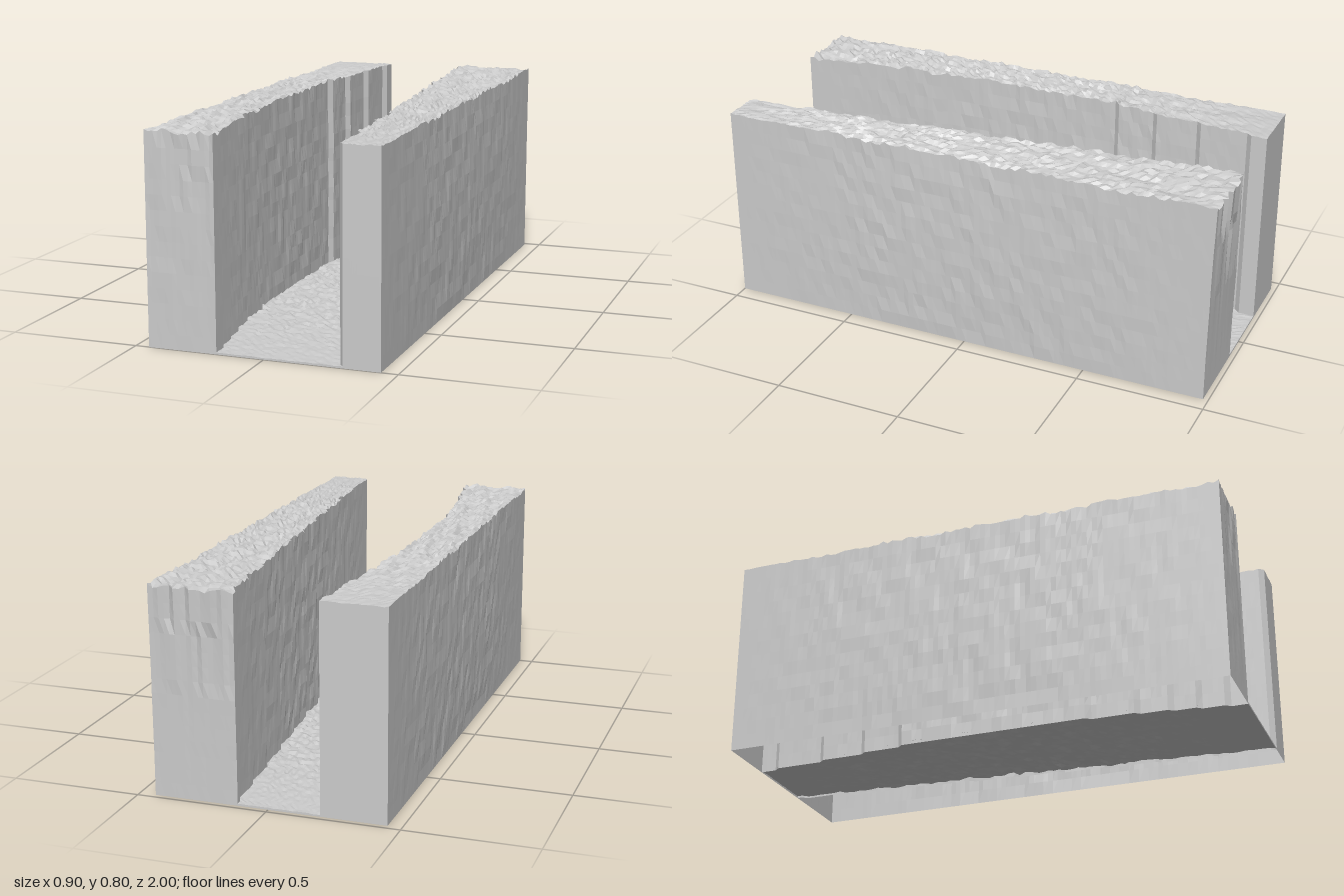
import * as THREE from 'three';

const NX = 16, NY = 14, NZ = 96;   // cells across, up and along each wall
const STEP = 0.0165;               // size of the steps in the gorge sides

// Repeatable noise in -1..1 for a grid point
function noise(i, j, k, seed) {
  let h = (i * 374761393 + j * 668265263 + k * 974634541 + seed * 69069) | 0;
  h = Math.imul(h ^ (h >>> 13), 1274126177);
  h = Math.imul(h ^ (h >>> 16), 1597334677);
  return ((h ^ (h >>> 15)) >>> 0) / 2147483648 - 1;
}

// Inner edge of each wall, read along z and snapped into steps
const edgeCurves = {
  left: [[-1, 0.12], [-0.5, 0.165], [0, 0.21], [0.4, 0.245], [1, 0.29]],
  right: [[-1, -0.2], [-0.6, -0.23], [-0.3, -0.26], [0, -0.272], [0.3, -0.266], [0.6, -0.24], [1, -0.18]],
};
function edge(side, z) {
  const c = edgeCurves[side];
  let n = 0;
  while (n < c.length - 2 && z > c[n + 1][0]) n++;
  const t = THREE.MathUtils.clamp((z - c[n][0]) / (c[n + 1][0] - c[n][0]), 0, 1);
  return Math.round(THREE.MathUtils.lerp(c[n][1], c[n + 1][1], t) / STEP) * STEP;
}

const material = new THREE.MeshStandardMaterial({ color: 0xcccccc, flatShading: true, side: THREE.DoubleSide });

// Grid surface whose normal is (u direction) x (v direction)
function surface(name, nu, nv, point, flip = false) {
  const positions = [], index = [];
  for (let u = 0; u <= nu; u++) {
    for (let v = 0; v <= nv; v++) {
      positions.push(...point(u, v));
      if (u === nu || v === nv) continue;
      const a = u * (nv + 1) + v, b = a + nv + 1;
      if (flip) index.push(a, b + 1, b, a, a + 1, b + 1);
      else index.push(a, b, b + 1, a, b + 1, a + 1);
    }
  }
  const geometry = new THREE.BufferGeometry();
  geometry.setAttribute('position', new THREE.Float32BufferAttribute(positions, 3));
  geometry.setIndex(index);
  geometry.computeVertexNormals();
  const mesh = new THREE.Mesh(geometry, material);
  mesh.name = name;
  return mesh;
}

// One rock wall, open underneath; i runs inner to outer, j up, k back to front
function wall(side) {
  const left = side === 'left', s = left ? 1 : -1;
  const point = (i, j, k) => {
    const t = k / NZ, h = j / NY, mid = Math.sin(Math.PI * t);
    let z = -0.98 + 1.98 * t;
    const outer = s * ((left ? 0.437 : 0.447) + 0.007 * mid * Math.sin(Math.PI * h));
    let x = THREE.MathUtils.lerp(edge(side, z), outer, i / NX);
    let y = 0.79 * h;
    // rough top, calmer towards one end
    if (j === NY) {
      const rough = left ? Math.min(1, 0.25 + 2.5 * (1 - t)) : Math.min(1, 0.2 + 2.5 * t);
      y += rough * (0.003 + 0.008 * noise(i, 0, k, 1) + 0.004 * Math.sin(i * 0.8 + k * 0.25));
    }
    // slight unevenness of the sides
    if (j > 0 && (i === 0 || i === NX)) x += 0.0025 * mid * noise(i, j, k >> 1, 2);
    // ragged rear end of the left wall, strongest at the top
    if (left && k === 0) z -= h * h * (0.011 + 0.009 * noise(i, j >> 2, 0, 3));
    // faintly chipped front end of the right wall
    if (!left && k === NZ && i > 0 && i < NX) z += 0.003 * h * (noise(i >> 1, j >> 1, 0, 4) - 1);
    return [x, y, z];
  };
  const flip = !left;
  const group = new THREE.Group();
  group.name = side + 'Wall';
  group.add(
    surface('wallTop', NZ, NX, (k, i) => point(i, NY, k), flip),
    surface('outerFace', NY, NZ, (j, k) => point(NX, j, k), flip),
    surface('innerFace', NZ, NY, (k, j) => point(0, j, k), flip),
    surface('frontEnd', NX, NY, (i, j) => point(i, j, NZ), flip),
    surface('backEnd', NY, NX, (j, i) => point(i, j, 0), flip),
  );
  return group;
}

// Rough gorge floor between the stepped wall edges, with a thin skirt at each end
function floor() {
  const cells = 28;
  const point = (i, k) => {
    const t = k / NZ, z = -0.98 + 1.98 * t, mid = Math.sin(Math.PI * t);
    const x = THREE.MathUtils.lerp(edge('right', z), edge('left', z), i / cells);
    const swell = Math.sin(Math.PI * i / cells);
    const y = 0.006 + 0.006 * mid * swell + (0.0015 + 0.006 * mid) * (1 + noise(i, 0, k, 5)) * 0.8;
    return [x, y, z];
  };
  const skirt = (k) => (i, j) => {
    const p = point(i, k);
    return [p[0], p[1] * j, p[2]];
  };
  const group = new THREE.Group();
  group.name = 'gorgeFloor';
  group.add(
    surface('floorSurface', NZ, cells, (k, i) => point(i, k)),
    surface('floorFrontEdge', cells, 1, skirt(NZ)),
    surface('floorBackEdge', cells, 1, skirt(0), true),
  );
  return group;
}

export function createModel() {
  const model = new THREE.Group();
  model.name = 'rockGorge';
  model.add(wall('left'), wall('right'), floor());
  return model;
}
